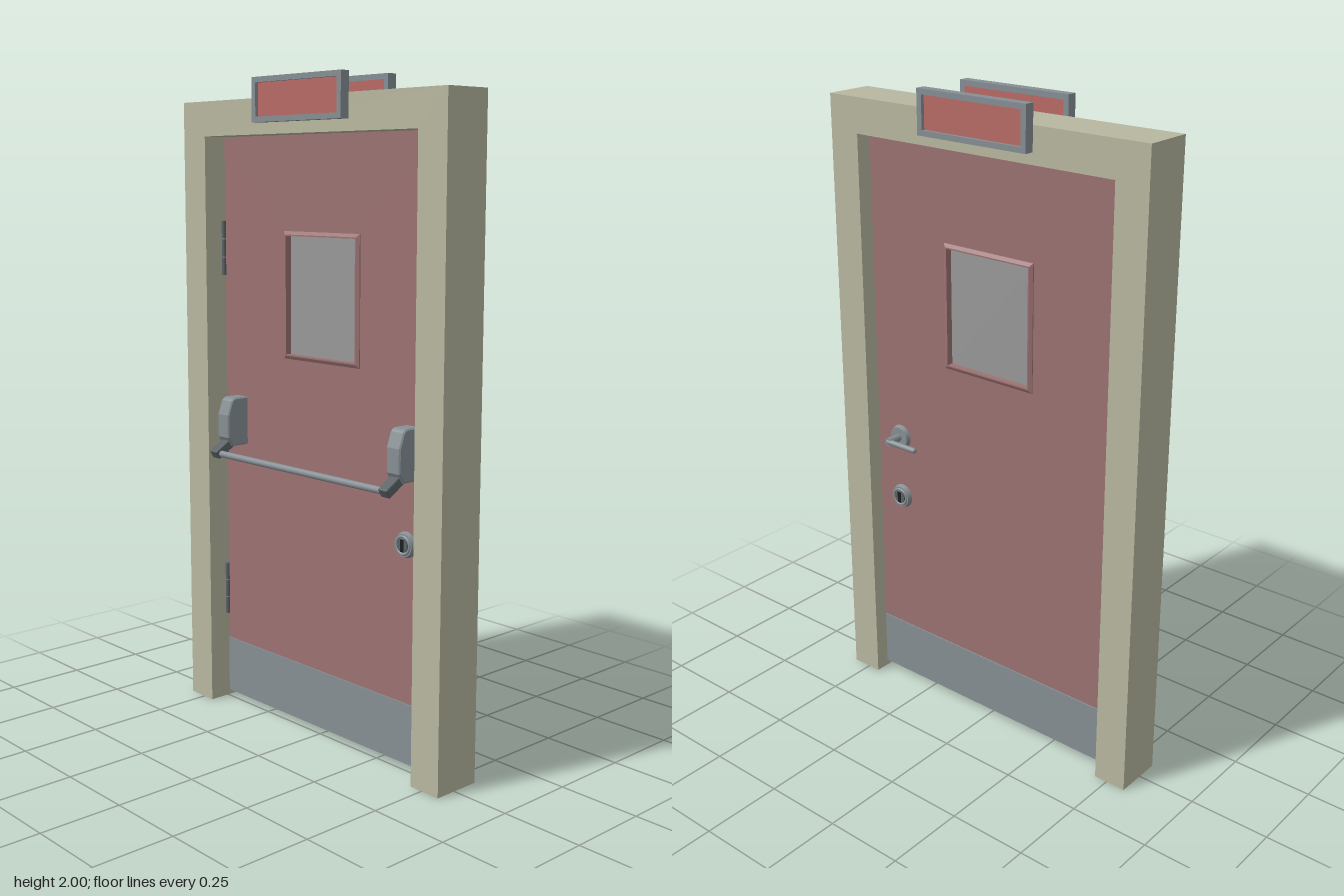
import * as THREE from 'three';
import { RoundedBoxGeometry } from 'three/addons/geometries/RoundedBoxGeometry.js';

const mat = (color) => new THREE.MeshStandardMaterial({ color });
const frameMat = mat(0xb8b8a0), doorMat = mat(0x9c7272), metal = mat(0x868f94);
const darkMetal = mat(0x5a6266), glassMat = mat(0x999999), signMat = mat(0xb86a66), black = mat(0x1c1f20);

const FRONT = -0.003, BACK = -0.037; // faces of the door leaf
const MID = (FRONT + BACK) / 2;

function add(parent, name, geo, material, x = 0, y = 0, z = 0) {
  const mesh = new THREE.Mesh(geo, material);
  mesh.name = name;
  mesh.position.set(x, y, z);
  parent.add(mesh);
  return mesh;
}

function group(parent, name, x = 0, y = 0, z = 0) {
  const g = new THREE.Group();
  g.name = name;
  g.position.set(x, y, z);
  parent.add(g);
  return g;
}

const box = (w, h, d) => new THREE.BoxGeometry(w, h, d);
const disc = (r1, r2, d) => new THREE.CylinderGeometry(r1, r2, d, 32).rotateX(Math.PI / 2);

function rect(target, x0, y0, x1, y1) {
  target.moveTo(x0, y0).lineTo(x1, y0).lineTo(x1, y1).lineTo(x0, y1).closePath();
  return target;
}

// Rectangular plate with a rectangular hole; corners as [x0, y0, x1, y1]
function ring(outer, inner, depth) {
  const shape = rect(new THREE.Shape(), ...outer);
  shape.holes.push(rect(new THREE.Path(), ...inner));
  return new THREE.ExtrudeGeometry(shape, { depth, bevelEnabled: false });
}

// Sloping window moulding: a four-sided ring, high at the glass, low at the outside
function moulding(w, h, border, height) {
  const pos = [], idx = [];
  const loops = [[border, 0], [border, 0.003], [0.004, height], [0, height], [0, -0.012]];
  for (const [out, z] of loops) {
    for (const [sx, sy] of [[-1, -1], [1, -1], [1, 1], [-1, 1]]) pos.push(sx * (w / 2 + out), sy * (h / 2 + out), z);
  }
  for (let l = 0; l < loops.length - 1; l++) {
    for (let i = 0; i < 4; i++) {
      const a = l * 4 + i, b = l * 4 + (i + 1) % 4;
      idx.push(a, b, b + 4, a, b + 4, a + 4);
    }
  }
  let geo = new THREE.BufferGeometry();
  geo.setAttribute('position', new THREE.Float32BufferAttribute(pos, 3));
  geo.setIndex(idx);
  geo = geo.toNonIndexed();
  geo.computeVertexNormals();
  return geo;
}

// Lock cylinder, facing +z
function buildLock(parent, name, x, y, z) {
  const g = group(parent, name, x, y, z);
  add(g, 'lockRose', disc(0.034, 0.039, 0.014).translate(0, 0, 0.007), metal);
  add(g, 'lockRim', new THREE.TorusGeometry(0.026, 0.004, 8, 32), metal, 0, 0, 0.014);
  add(g, 'lockCore', disc(0.02, 0.02, 0.006), darkMetal, 0, 0, 0.015);
  add(g, 'keySlot', box(0.012, 0.036, 0.004), black, 0, 0, 0.018);
  return g;
}

// Illuminated sign box, facing +z
function buildSign(parent, name, z) {
  const g = group(parent, name, 0, 1.935, z);
  add(g, 'signCasing', ring([-0.192, -0.065, 0.192, 0.065], [-0.175, -0.049, 0.175, 0.049], 0.031), metal);
  add(g, 'signPanel', box(0.35, 0.098, 0.02), signMat, 0, 0, 0.01);
  return g;
}

// Bracket of the push bar: sloped housing with a hanging arm
function buildBracket(parent, x) {
  const g = group(parent, 'pushBarBracket', x, 0, 0);
  const profile = new THREE.Shape();
  profile.moveTo(FRONT, 0.875).lineTo(0.055, 0.875).lineTo(0.071, 0.9).lineTo(0.071, 0.97)
    .lineTo(0.056, 1.012).quadraticCurveTo(0.05, 1.02, 0.04, 1.02).lineTo(FRONT, 1.02).closePath();
  const housing = new THREE.ExtrudeGeometry(profile, {
    depth: 0.046, bevelThickness: 0.004, bevelSize: 0.004, bevelSegments: 1, curveSegments: 5,
  });
  housing.translate(0, 0, -0.023).rotateY(-Math.PI / 2);
  add(g, 'bracketHousing', housing, metal);
  const arm = add(g, 'bracketArm', new RoundedBoxGeometry(0.036, 0.03, 0.085, 2, 0.005), darkMetal, 0, 0.868, 0.074);
  arm.rotation.x = 0.55;
}

export function createModel() {
  const model = new THREE.Group();
  model.name = 'fireDoor';

  // Door frame: two jambs and a lintel in one piece, open at the floor
  const frame = new THREE.Shape();
  frame.moveTo(-0.563, 0).lineTo(-0.458, 0).lineTo(-0.458, 1.836).lineTo(0.458, 1.836)
    .lineTo(0.458, 0).lineTo(0.563, 0).lineTo(0.563, 1.942).lineTo(-0.563, 1.942).closePath();
  add(model, 'doorFrame', new THREE.ExtrudeGeometry(frame, { depth: 0.154, bevelEnabled: false }), frameMat, 0, 0, -0.086);

  // Door leaf with a window opening
  const door = group(model, 'door');
  add(door, 'doorLeaf', ring([-0.449, 0.02, 0.457, 1.835], [-0.148, 1.178, 0.154, 1.537], FRONT - BACK), doorMat, 0, 0, BACK);
  add(door, 'windowPane', box(0.304, 0.361, 0.01), glassMat, 0.003, 1.3575, MID);

  // Both faces: moulding, kick plate, lock, sign
  for (const side of [1, -1]) {
    const face = side > 0 ? FRONT : BACK;
    const turn = side > 0 ? 0 : Math.PI;
    const trim = add(door, 'windowMoulding', moulding(0.302, 0.359, 0.014, 0.009), doorMat, 0.003, 1.3575, face);
    trim.rotation.y = turn;
    add(door, 'kickPlate', box(0.905, 0.183, 0.006), metal, 0.004, 0.1125, face + side * 0.001);
    buildLock(door, 'lock', 0.362, 0.678, face).rotation.y = turn;
    buildSign(model, 'sign', side > 0 ? 0.067 : -0.085).rotation.y = turn;
  }

  // Hinges in the gap beside the leaf
  for (const y of [0.372, 0.915, 1.49]) {
    const hinge = group(model, 'hinge', -0.4535, y, 0);
    add(hinge, 'hingeLeaf', box(0.009, 0.172, 0.034), darkMetal, 0, 0, MID);
    for (const k of [-1, 0, 1]) {
      add(hinge, 'hingeKnuckle', new THREE.CylinderGeometry(0.007, 0.007, 0.054, 12), darkMetal, 0, k * 0.058, FRONT + 0.003);
    }
  }

  // Push bar on the front
  const pushBar = group(model, 'pushBar');
  for (const x of [-0.374, 0.382]) buildBracket(pushBar, x);
  add(pushBar, 'pushRail', new THREE.CylinderGeometry(0.0105, 0.0105, 0.75, 16).rotateZ(Math.PI / 2), metal, 0.004, 0.85, 0.096);

  // Lever handle on the back
  const handle = group(model, 'leverHandle', 0.362, 0.885, BACK);
  add(handle, 'leverRose', disc(0.039, 0.034, 0.014), metal, 0, 0, -0.007);
  add(handle, 'leverNeck', disc(0.012, 0.014, 0.052), metal, 0, 0, -0.036);
  const grip = new THREE.CapsuleGeometry(0.009, 0.106, 6, 16).rotateZ(Math.PI / 2);
  add(handle, 'leverGrip', grip, metal, -0.052, 0, -0.057);

  return model;
}
